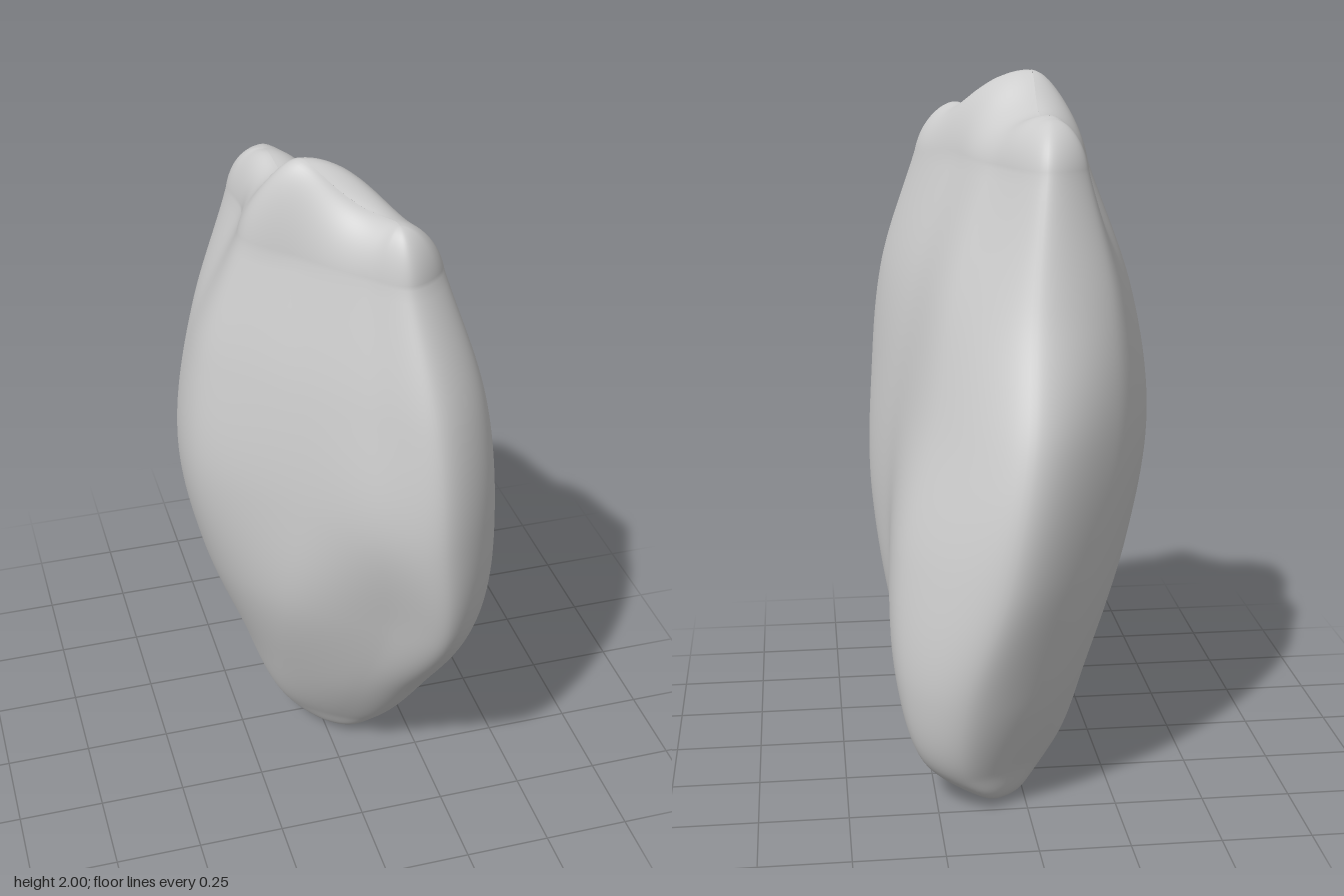
import * as THREE from 'three';

const AROUND = 140, RISE = 80, DOME = 18;

// Section heights, and at each the [x, z] landmarks going round:
// front tip, three on the +x face, back tip, four on the -x face, front crease
const heights = [0.02, 0.12, 0.35, 0.7, 1.05, 1.4, 1.75];
const sections = [
  [[.06, .12], [.1, .04], [.12, -.15], [.15, -.36], [.1, -.47], [.02, -.42], [-.03, -.27], [-.06, -.1], [-.05, 0], [0, .09]],
  [[.12, .23], [.21, .15], [.24, -.12], [.28, -.44], [.17, -.54], [0, -.46], [-.11, -.29], [-.14, -.08], [-.11, .07], [.01, .19]],
  [[.17, .39], [.31, .27], [.33, -.05], [.34, -.45], [.17, -.61], [-.08, -.5], [-.2, -.27], [-.22, -.02], [-.16, .18], [.02, .34]],
  [[.21, .61], [.375, .43], [.35, .05], [.33, -.38], [.07, -.655], [-.18, -.5], [-.32, -.22], [-.33, .07], [-.19, .32], [.06, .5]],
  [[.18, .66], [.365, .5], [.32, .1], [.24, -.32], [0, -.61], [-.25, -.44], [-.38, -.18], [-.385, .1], [-.16, .37], [.02, .56]],
  [[.16, .61], [.335, .46], [.25, .1], [.17, -.22], [-.03, -.45], [-.25, -.36], [-.33, -.15], [-.35, .08], [-.14, .33], [.01, .49]],
  [[.12, .46], [.235, .37], [.13, .11], [.06, -.1], [-.07, -.335], [-.19, -.27], [-.19, -.1], [-.24, .09], [-.11, .24], [.02, .38]],
];

const bump = (z, at, width) => Math.exp(-(((z - at) / width) ** 2));

// Crest line: a bent ridge carrying three rounded lobes
function crest(z) {
  const cz = THREE.MathUtils.clamp(z * 0.9, -0.18, 0.37);
  const x = -0.09 + 0.2 * THREE.MathUtils.smoothstep(cz, 0.12, 0.36) + 0.07 * Math.min(cz, 0);
  const y = 1.88 + 0.12 * bump(cz, 0.145, 0.095) + 0.012 * bump(cz, 0.37, 0.06) + 0.016 * bump(cz, -0.14, 0.06);
  return new THREE.Vector3(x, y, cz);
}

function bodyGeometry() {
  // Rails run from the underside up through matching landmarks
  const rails = sections[0].map((_, k) => new THREE.CatmullRomCurve3([
    new THREE.Vector3(0.03, 0, -0.17),
    ...sections.map((s, i) => new THREE.Vector3(s[k][0], heights[i], s[k][1])),
  ]));
  const rings = [];
  for (let i = 0; i <= RISE; i++) {
    const loop = new THREE.CatmullRomCurve3(rails.map(r => r.getPoint(i / RISE)), true);
    rings.push(Array.from({ length: AROUND }, (_, j) => loop.getPoint(j / AROUND)));
  }

  // Rounded top closes each side onto the crest line
  const rim = rings[RISE];
  for (let d = 1; d <= DOME; d++) {
    const t = d / DOME, a = t * Math.PI / 2;
    const inward = 0.7 * (1 - Math.cos(a)) + 0.3 * t;
    rings.push(rim.map(p => {
      const c = crest(p.z);
      return new THREE.Vector3(
        THREE.MathUtils.lerp(p.x, c.x, inward),
        THREE.MathUtils.lerp(p.y, c.y, Math.sin(a)),
        THREE.MathUtils.lerp(p.z, c.z, inward));
    }));
  }

  const positions = [], index = [];
  rings.forEach((ring, i) => ring.forEach((p, j) => {
    positions.push(p.x, Math.max(p.y, 0), p.z);
    if (i === rings.length - 1) return;
    const a = i * AROUND + j, b = i * AROUND + (j + 1) % AROUND;
    index.push(a, b, b + AROUND, a, b + AROUND, a + AROUND);
  }));
  const geometry = new THREE.BufferGeometry();
  geometry.setAttribute('position', new THREE.Float32BufferAttribute(positions, 3));
  geometry.setIndex(index);
  geometry.computeVertexNormals();
  return geometry;
}

export function createModel() {
  const group = new THREE.Group();
  group.name = 'lobedStone';
  const body = new THREE.Mesh(bodyGeometry(),
    new THREE.MeshStandardMaterial({ color: 0xcccccc, side: THREE.DoubleSide }));
  body.name = 'stoneBody';
  group.add(body);
  return group;
}
